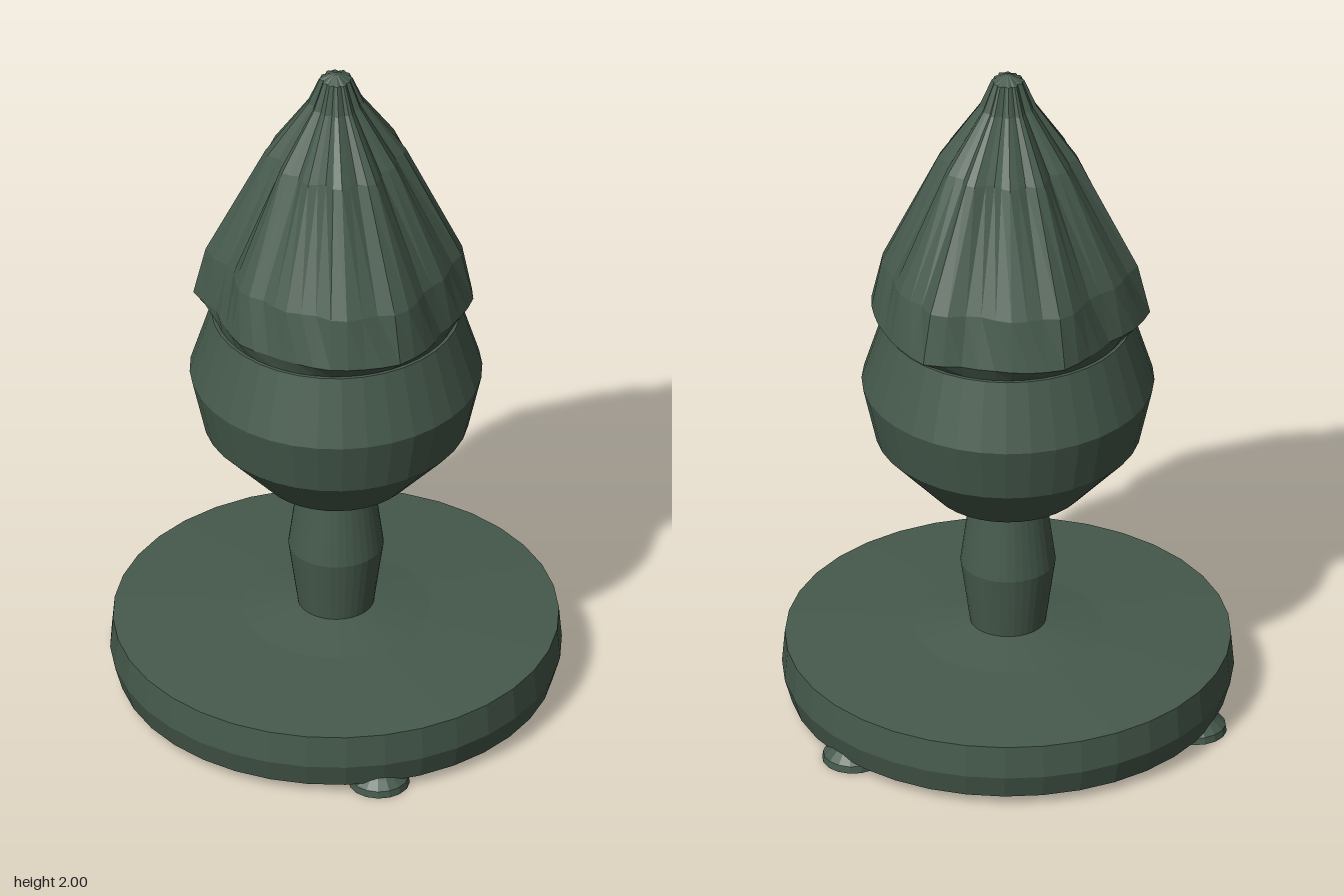
import * as THREE from 'three';

const SEGMENTS = 36;
const CAP_SEGMENTS = 48;
const material = new THREE.MeshStandardMaterial({ color: 0x465a4c, flatShading: true });

// Turned part from a bottom-to-top list of [radius, height]
function turned(name, profile, segments = SEGMENTS) {
  const points = profile.map(([r, y]) => new THREE.Vector2(r, y));
  const mesh = new THREE.Mesh(new THREE.LatheGeometry(points, segments), material);
  mesh.name = name;
  return mesh;
}

// Hem radius every 15 degrees, from +x towards +z
const hem = [
  0.385, 0.375, 0.375, 0.38, 0.36, 0.345, 0.37, 0.385, 0.375, 0.37, 0.355, 0.35,
  0.36, 0.345, 0.34, 0.395, 0.375, 0.345, 0.36, 0.385, 0.375, 0.36, 0.36, 0.4,
];
// Repeating ridge and crease, as a share of the radius
const pleat = [0, 0.07, 0.03, -0.07];

// Pleated pointed cap with an uneven overhanging hem
function makeCap() {
  const cap = turned('pleatedCap', [
    [0.335, 1.21], [0.37, 1.255], [0.335, 1.4], [0.178, 1.735],
    [0.073, 1.9], [0.042, 1.98], [0, 2],
  ], CAP_SEGMENTS);
  const pos = cap.geometry.attributes.position;
  for (let i = 0; i < pos.count; i++) {
    const x = pos.getX(i), y = pos.getY(i), z = pos.getZ(i);
    if (y < 1.25 || y > 1.99) continue;
    const turn = Math.atan2(z, x) / (2 * Math.PI) + 1;
    const step = Math.round(turn * CAP_SEGMENTS) % CAP_SEGMENTS;
    const a = hem[Math.floor(step / 2)], b = hem[Math.ceil(step / 2) % hem.length];
    const depth = y < 1.3 ? 0 : y < 1.5 ? 0.35 : 1;
    const k = (a + b) / 2 / 0.37 + depth * pleat[step % 4];
    pos.setXYZ(i, x * k, y, z * k);
  }
  cap.geometry.computeVertexNormals();
  return cap;
}

export function createModel() {
  const model = new THREE.Group();
  model.name = 'pedestalOrnament';

  const body = new THREE.Group();
  body.name = 'body';
  body.position.x = -0.008;
  body.add(
    turned('base', [[0, 0.03], [0.605, 0.03], [0.625, 0.1], [0.617, 0.195], [0.26, 0.22], [0.1, 0.245], [0, 0.245]]),
    turned('stem', [[0.105, 0.24], [0.132, 0.435], [0.105, 0.64]]),
    turned('bulb', [[0, 0.63], [0.105, 0.63], [0.215, 0.68], [0.368, 0.85], [0.405, 1.015], [0.345, 1.21], [0, 1.21]]),
    makeCap(),
  );
  model.add(body);

  // Three feet spaced evenly under the rim
  for (let i = 0; i < 3; i++) {
    const angle = (i * 2 * Math.PI) / 3;
    const foot = turned('foot', [[0, 0], [0.085, 0], [0.082, 0.02], [0.06, 0.04], [0.035, 0.07], [0.02, 0.08], [0, 0.082]], 16);
    foot.position.set(0.555 * Math.cos(angle) - 0.01, 0, 0.555 * Math.sin(angle));
    model.add(foot);
  }
  return model;
}
